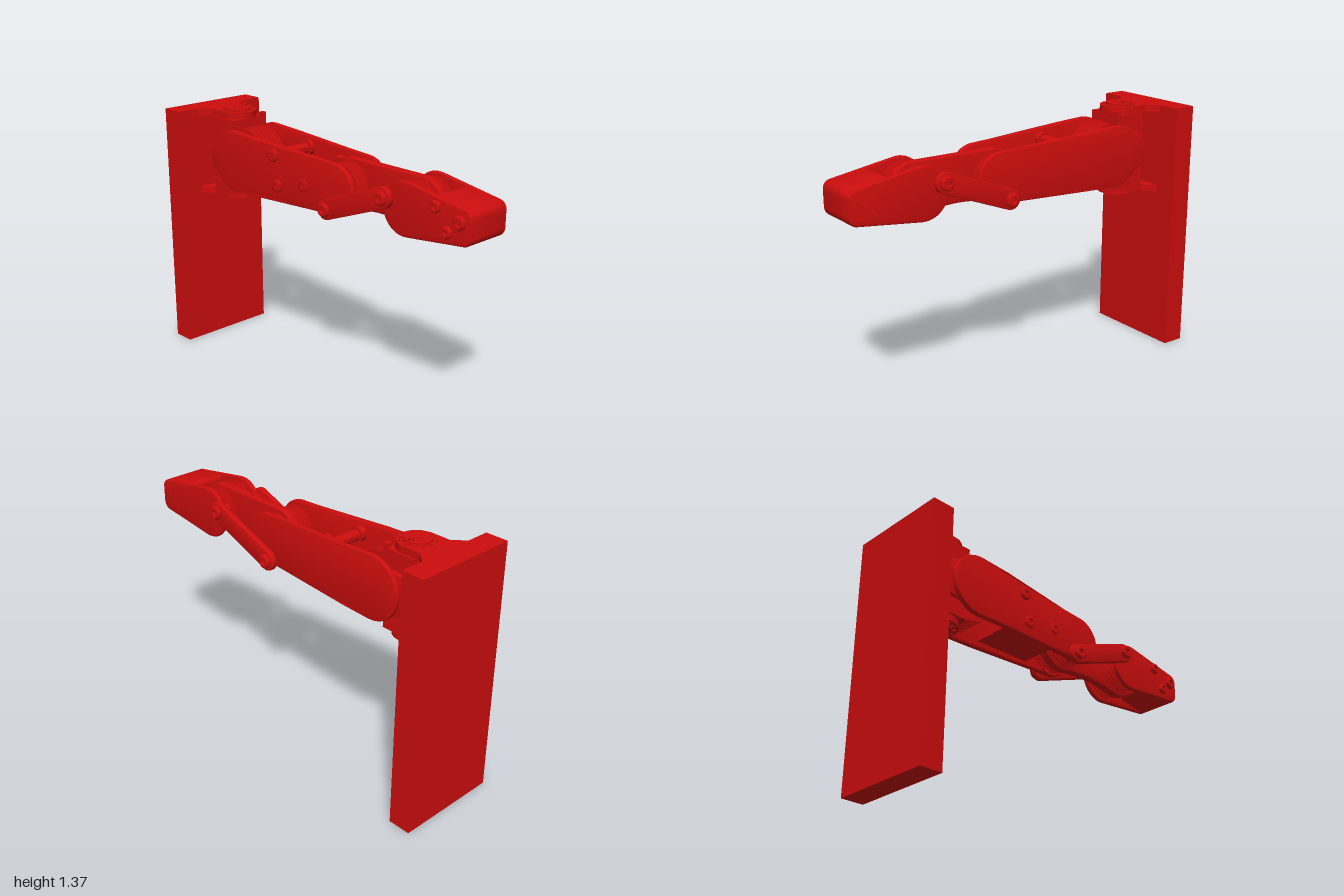
import * as THREE from 'three';
import { toCreasedNormals } from 'three/addons/utils/BufferGeometryUtils.js';

const red = new THREE.MeshStandardMaterial({ color: 0xcc0d0d });
red.name = 'red';

function add(parent, name, geometry, x = 0, y = 0, z = 0) {
  const mesh = new THREE.Mesh(toCreasedNormals(geometry, 0.6), red);
  mesh.name = name;
  mesh.position.set(x, y, z);
  parent.add(mesh);
  return mesh;
}

// Box given by its limits
function box(parent, name, x0, x1, y0, y1, z0, z1) {
  return add(parent, name, new THREE.BoxGeometry(x1 - x0, y1 - y0, z1 - z0),
    (x0 + x1) / 2, (y0 + y1) / 2, (z0 + z1) / 2);
}

// Outline of a belt stretched around circles [x, y, r], listed counter-clockwise
function belt(circles, splits = []) {
  const n = circles.length;
  const normal = (a, b) => Math.atan2(b[1] - a[1], b[0] - a[0])
    - Math.acos((a[2] - b[2]) / Math.hypot(b[0] - a[0], b[1] - a[1]));
  const points = [];
  circles.forEach((c, i) => {
    const start = normal(circles[(i + n - 1) % n], c);
    let end = normal(c, circles[(i + 1) % n]);
    while (end < start) end += Math.PI * 2;
    const steps = Math.max(4, Math.ceil((end - start) / 0.13));
    for (let k = 0; k <= steps; k++) {
      const t = start + (end - start) * k / steps;
      points.push(new THREE.Vector2(c[0] + c[2] * Math.cos(t), c[1] + c[2] * Math.sin(t)));
    }
  });
  // Extra points on the straight edges, at the given x positions
  const out = [];
  points.forEach((p, i) => {
    const q = points[(i + 1) % points.length];
    out.push(p);
    splits.filter((x) => (x - p.x) * (x - q.x) < 0)
      .sort((a, b) => (a - b) * Math.sign(q.x - p.x))
      .forEach((x) => out.push(p.clone().lerp(q, (x - p.x) / (q.x - p.x))));
  });
  return new THREE.Shape(out);
}

// Flat plate between z0 and z1 with slightly bevelled edges
function plate(shape, z0, z1, bevel = 0.007) {
  const g = new THREE.ExtrudeGeometry(shape, {
    depth: z1 - z0 - 2 * bevel, bevelEnabled: true, bevelThickness: bevel,
    bevelSize: bevel, bevelOffset: -bevel, bevelSegments: 2, curveSegments: 20,
  });
  return g.translate(0, 0, z0 + bevel);
}

// Solid of revolution along z
function turned(parent, name, profile, x, y, z, facing = 1, sides = 40) {
  const g = new THREE.LatheGeometry(profile.map(([r, h]) => new THREE.Vector2(r, h)), sides);
  return add(parent, name, g.rotateX(facing * Math.PI / 2), x, y, z);
}

function disc(parent, name, x, y, r, z0, z1) {
  const h = z1 - z0;
  return turned(parent, name, [[0, 0], [r, 0], [r, h], [0, h]], x, y, z0);
}

// Socket-headed screw
function screw(parent, x, y, z, facing, r = 0.033, h = 0.02) {
  turned(parent, 'screw', [[0, -0.005], [r, -0.005], [r, h * 0.7], [r * 0.82, h],
    [r * 0.45, h], [r * 0.45, h * 0.25], [0, h * 0.25]], x, y, z, facing, 24);
}

// Pulley with V-shaped cable grooves
function pulley(parent, x, y, r, z0, z1, grooves) {
  const step = (z1 - z0) / grooves;
  const profile = [[0, 0]];
  for (let i = 0; i < grooves; i++) {
    profile.push([r, i * step], [r, (i + 0.25) * step],
      [r - 0.028, (i + 0.55) * step], [r - 0.028, (i + 0.7) * step], [r, (i + 0.95) * step]);
  }
  profile.push([r, z1 - z0], [0, z1 - z0]);
  turned(parent, 'groovedPulley', profile, x, y, z0);
}

export function createModel() {
  const model = new THREE.Group();
  const group = (name) => {
    const g = new THREE.Group();
    g.name = name;
    model.add(g);
    return g;
  };

  // Upright mounting slab with two forked brackets
  const base = group('base');
  box(base, 'slab', -1, -0.88, 0, 1.345, -0.28, 0.28);
  for (const [low, high, dir] of [[1.308, 1.345, 1], [0.868, 0.903, -1]]) {
    const s = new THREE.Shape();
    s.moveTo(-0.89, -0.155);
    s.lineTo(-0.88, -0.155);
    s.lineTo(-0.82, -0.1);
    s.lineTo(-0.72, -0.1);
    s.absarc(-0.72, 0, 0.1, -Math.PI / 2, Math.PI / 2, false);
    s.lineTo(-0.82, 0.1);
    s.lineTo(-0.88, 0.155);
    s.lineTo(-0.89, 0.155);
    const g = new THREE.ExtrudeGeometry(s, { depth: high - low, bevelEnabled: false, curveSegments: 20 });
    add(base, 'bracket', g.rotateX(-Math.PI / 2), 0, low, 0);
    // Hub cap with a toothed ring
    const face = dir > 0 ? high : low;
    add(base, 'hubCap', new THREE.CylinderGeometry(0.068, 0.068, 0.024, 40), -0.72, face, 0);
    add(base, 'hubPin', new THREE.CylinderGeometry(0.026, 0.026, 0.034, 6), -0.72, face, 0);
    for (let i = 0; i < 12; i++) {
      const a = i * Math.PI / 6;
      const tooth = add(base, 'hubTooth', new THREE.BoxGeometry(0.016, 0.014, 0.016),
        -0.72 + 0.078 * Math.cos(a), face, 0.078 * Math.sin(a));
      tooth.rotation.y = -a;
    }
  }
  add(base, 'stopPin', new THREE.CylinderGeometry(0.014, 0.014, 0.03, 16), -0.72, 1.356, -0.045);

  // Swivel block with ears that carry the first joint
  const swivel = group('swivel');
  box(swivel, 'swivelBlock', -0.8, -0.63, 0.903, 1.308, -0.11, 0.11);
  box(swivel, 'stopTab', -0.64, -0.615, 1.25, 1.33, -0.11, -0.08);
  for (const z of [-0.13, 0.08]) {
    add(swivel, 'ear', plate(belt([[-0.7, 1.105, 0.11], [-0.585, 1.105, 0.11]]), z, z + 0.045));
  }
  pulley(swivel, -0.585, 1.105, 0.16, -0.08, 0.07, 6);

  // Upper arm: two side plates that lean inward toward the elbow
  const upper = group('upperArm');
  for (const [name, z0, z1, shift] of [['frontPlate', 0.118, 0.15, -0.027], ['backPlate', -0.155, -0.127, 0.018]]) {
    const shape = belt([[-0.58, 1.105, 0.165], [0.155, 1.1, 0.132]], [-0.4, -0.25, -0.1, 0.05]);
    const g = plate(shape, z0, z1);
    const p = g.attributes.position;
    for (let i = 0; i < p.count; i++) {
      const t = THREE.MathUtils.clamp((p.getX(i) + 0.4) / 0.45, 0, 1);
      p.setZ(i, p.getZ(i) + t * shift);
    }
    g.computeVertexNormals();
    add(upper, name, g);
  }
  for (const [x, y, z] of [[-0.27, 1.195, 0.139], [-0.24, 1.04, 0.138], [-0.05, 1.08, 0.127]]) {
    disc(upper, 'spacerRod', x, y, 0.028, -0.13, z - 0.015);
    disc(upper, 'spacerCollar', x, y, 0.04, -0.13, -0.09);
    disc(upper, 'spacerCollar', x, y, 0.04, 0.07, z - 0.015);
    screw(upper, x, y, z, 1, 0.034, 0.012);
  }
  // Floor web between the plates
  box(upper, 'floorWeb', -0.36, -0.03, 0.985, 1.02, -0.125, 0.105);
  box(upper, 'innerLug', -0.03, 0.02, 1.14, 1.2, -0.125, -0.06);

  // Middle link with a hollowed lower edge
  const link = group('middleLink');
  const s = new THREE.Shape();
  s.moveTo(0.61, 1.235);
  s.lineTo(0.15, 1.235);
  s.absarc(0.15, 1.102, 0.133, Math.PI / 2, Math.PI * 1.56, false);
  s.quadraticCurveTo(0.28, 0.993, 0.37, 0.993);
  s.quadraticCurveTo(0.47, 0.993, 0.56, 0.975);
  s.absarc(0.61, 1.102, 0.133, Math.PI * 1.42, Math.PI * 2.5, false);
  add(link, 'linkPlate', plate(s, -0.06, -0.012));
  for (const [x, r] of [[0.15, 0.118], [0.605, 0.118]]) {
    pulley(link, x, 1.1, r, -0.11, -0.06, 3);
    pulley(link, x, 1.1, r, -0.012, 0.068, 4);
    disc(link, 'jointShaft', x, 1.1, 0.06, -0.13, 0.09);
  }

  // Slanted coupling bars outside the side plates
  for (const [z0, z1, dir] of [[0.112, 0.145, 1], [-0.175, -0.142, -1]]) {
    const bars = group(dir > 0 ? 'frontCouplingBar' : 'backCouplingBar');
    add(bars, 'bar', plate(belt([[0.12, 0.995, 0.053], [0.5, 1.14, 0.053]]), z0, z1));
    for (const [x, y] of [[0.12, 0.995], [0.5, 1.14]]) {
      screw(bars, x, y, dir > 0 ? z1 : z0, dir, 0.036, 0.02);
      disc(bars, 'barPin', x, y, 0.025, dir > 0 ? 0.07 : z0, dir > 0 ? z1 - 0.02 : -0.1);
    }
  }

  // Fingertip: side plates joined by a rounded end block
  const tip = group('fingertip');
  const corners = [[0.955, 1.05, 0.045], [0.955, 1.135, 0.045]];
  for (const [z0, z1] of [[0.073, 0.102], [-0.153, -0.125]]) {
    add(tip, 'tipPlate', plate(belt([[0.605, 1.1, 0.136], ...corners]), z0, z1, 0.01));
  }
  const core = [[0.79, 1.055, 0.025], ...corners, [0.79, 1.178, 0.025]];
  add(tip, 'tipBlock', plate(belt(core), -0.148, 0.097, 0.012));
  for (const [x, y] of [[0.8, 1.16], [0.94, 1.115], [0.87, 1.055]]) {
    screw(tip, x, y, 0.102, 1, x > 0.9 ? 0.034 : 0.029, 0.02);
    turned(tip, 'boltEnd', [[0.016, 0], [0.016, 0.003], [0.01, 0.003], [0.01, 0]], x, y, -0.153, -1, 20);
  }
  return model;
}
